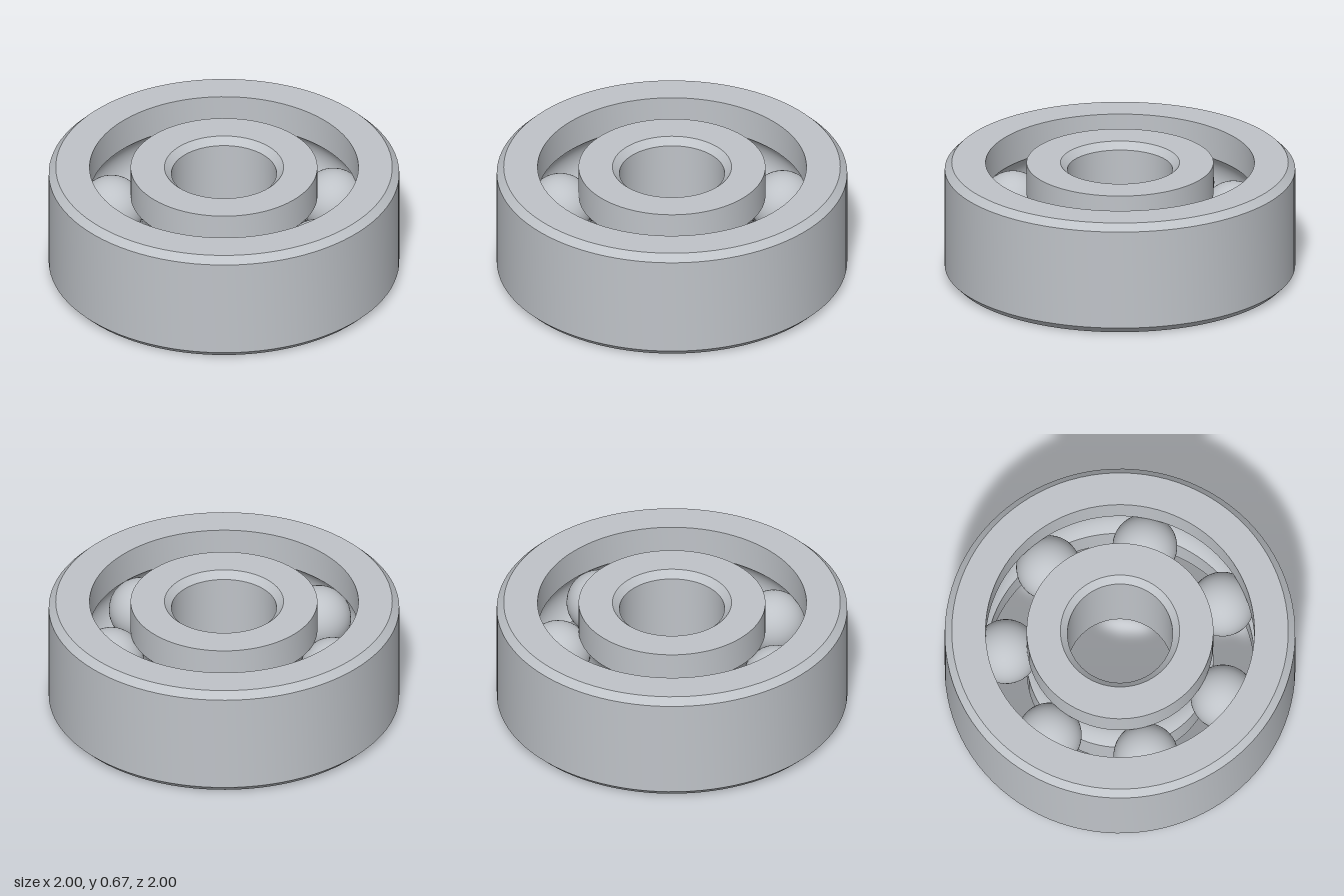
import * as THREE from 'three';
import { toCreasedNormals } from 'three/addons/utils/BufferGeometryUtils.js';

const HEIGHT = 0.667, MID = HEIGHT / 2, CHAMFER = 0.04;
const PITCH = 0.65, BALL = 0.185, BALLS = 7;
const OUTER_RACE = 0.767, INNER_RACE = 0.533, BORE = 0.3;

// Points of the ball groove, an arc about the ball centre in the (radius, y) plane
function groove(from, to, steps = 16) {
  return Array.from({ length: steps + 1 }, (_, i) => {
    const a = from + (to - from) * i / steps;
    return [PITCH + BALL * Math.cos(a), MID + BALL * Math.sin(a)];
  });
}

// Turns a closed (radius, y) profile into a ring with sharp machined edges
function ring(name, profile, material) {
  const points = [...profile, profile[0]].map(([r, y]) => new THREE.Vector2(r, y));
  const geometry = toCreasedNormals(new THREE.LatheGeometry(points, 96), Math.PI / 6);
  const mesh = new THREE.Mesh(geometry, material);
  mesh.name = name;
  return mesh;
}

export function createModel() {
  const steel = new THREE.MeshStandardMaterial({ color: 0xbfc3c8 });
  steel.name = 'steel';

  const model = new THREE.Group();
  model.name = 'ballBearing';

  // Outer ring: chamfered rim, plain inner wall with a groove
  const a = Math.acos((OUTER_RACE - PITCH) / BALL);
  model.add(ring('outerRing', [
    [1 - CHAMFER, 0], [1, CHAMFER], [1, HEIGHT - CHAMFER], [1 - CHAMFER, HEIGHT],
    [OUTER_RACE, HEIGHT], ...groove(a, -a), [OUTER_RACE, 0],
  ], steel));

  // Inner ring: grooved outer wall, chamfered bore
  const b = Math.acos((PITCH - INNER_RACE) / BALL);
  model.add(ring('innerRing', [
    [BORE + CHAMFER, 0], [INNER_RACE, 0], ...groove(Math.PI + b, Math.PI - b),
    [INNER_RACE, HEIGHT], [BORE + CHAMFER, HEIGHT],
    [BORE, HEIGHT - CHAMFER], [BORE, CHAMFER],
  ], steel));

  // Balls, evenly spaced in the race
  const balls = new THREE.Group();
  balls.name = 'balls';
  const ballGeometry = new THREE.SphereGeometry(BALL, 40, 24);
  for (let i = 0; i < BALLS; i++) {
    const angle = i * 2 * Math.PI / BALLS;
    const ball = new THREE.Mesh(ballGeometry, steel);
    ball.name = 'ball';
    ball.position.set(PITCH * Math.cos(angle), MID, PITCH * Math.sin(angle));
    balls.add(ball);
  }
  model.add(balls);

  return model;
}
